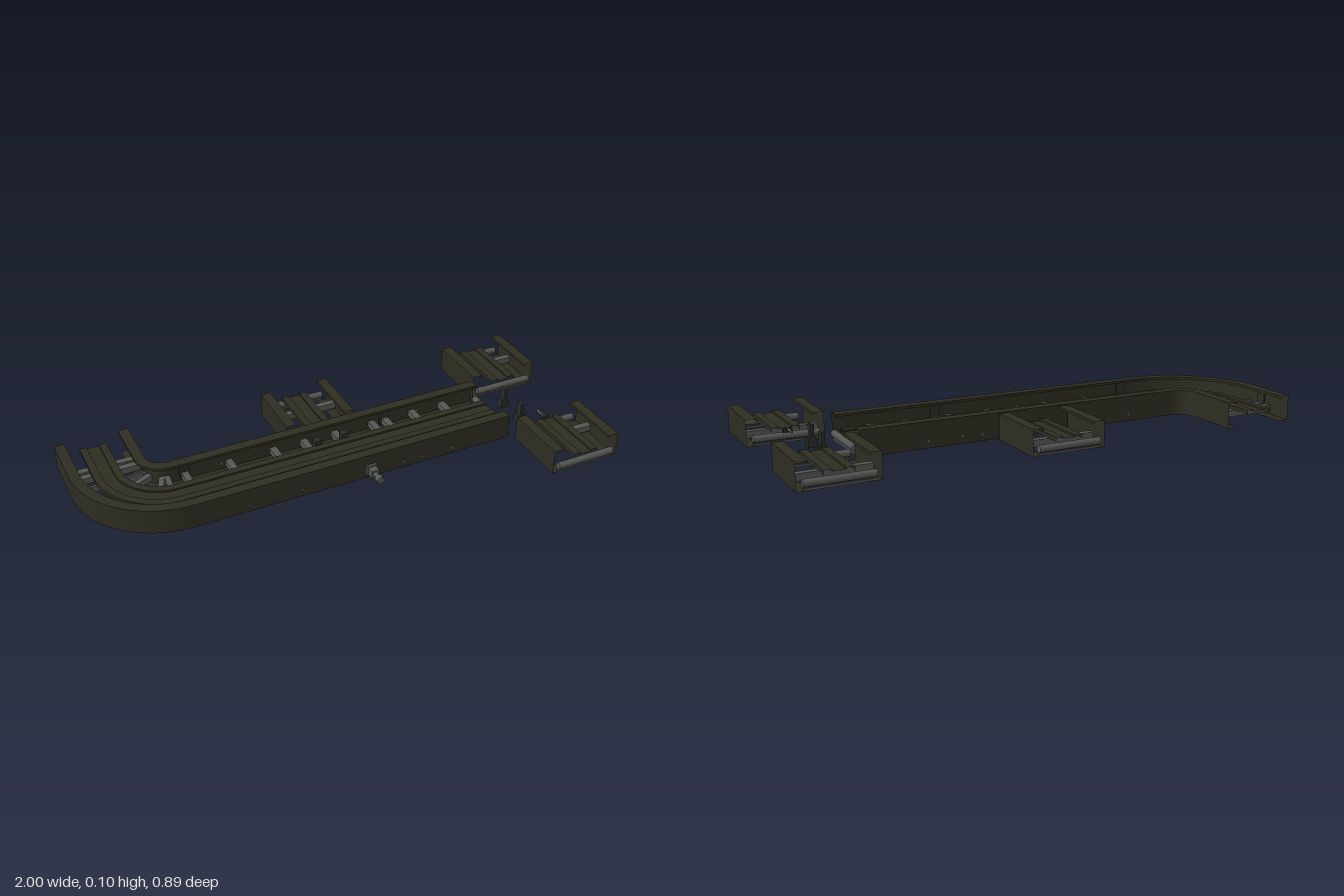
import * as THREE from 'three';

const olive = new THREE.MeshStandardMaterial({ color: 0x2d2d21, side: THREE.DoubleSide });
olive.name = 'olive sheet metal';
const steel = new THREE.MeshStandardMaterial({ color: 0x555753 });
steel.name = 'grey steel';
const dark = new THREE.MeshStandardMaterial({ color: 0x2a2a28 });
dark.name = 'dark bracket';

// Cross-sections as [sideways offset, height]
const outerRail = [[0.105, 0.09], [0.105, 0.1], [0.146, 0.1], [0.146, 0], [0.106, 0]];
const innerRail = outerRail.map(([s, y]) => [-s, y]);
const centreRail = [[-0.053, 0.045], [-0.053, 0.06], [-0.024, 0.06], [-0.024, 0.053],
  [0.024, 0.053], [0.024, 0.06], [0.053, 0.06], [0.053, 0.045]];

// Folded sheet: sweeps an open profile along a path of {x, z, nx, nz}
function sweep(name, path, profile) {
  const pos = [], idx = [];
  for (let k = 0; k < profile.length - 1; k++) {
    const base = pos.length / 3;
    path.forEach((p, i) => {
      for (const [s, y] of [profile[k], profile[k + 1]]) pos.push(p.x + p.nx * s, y, p.z + p.nz * s);
      if (i) {
        const a = base + 2 * (i - 1);
        idx.push(a, a + 1, a + 2, a + 1, a + 3, a + 2);
      }
    });
  }
  const g = new THREE.BufferGeometry();
  g.setAttribute('position', new THREE.Float32BufferAttribute(pos, 3));
  g.setIndex(idx);
  g.computeVertexNormals();
  const m = new THREE.Mesh(g, olive);
  m.name = name;
  return m;
}

function box(name, mat, w, h, d, x, y, z, ry = 0) {
  const m = new THREE.Mesh(new THREE.BoxGeometry(w, h, d), mat);
  m.name = name;
  m.position.set(x, y, z);
  m.rotation.y = ry;
  return m;
}

// Round bar along x, y or z
function rod(name, r, len, axis, x, y, z, sides = 8) {
  const g = new THREE.CylinderGeometry(r, r, len, sides);
  if (axis === 'x') g.rotateZ(Math.PI / 2);
  if (axis === 'z') g.rotateX(Math.PI / 2);
  const m = new THREE.Mesh(g, steel);
  m.name = name;
  m.position.set(x, y, z);
  return m;
}

function addRails(group, path) {
  group.add(sweep('outerSideRail', path, outerRail));
  group.add(sweep('innerSideRail', path, innerRail));
  group.add(sweep('centreRail', path, centreRail));
}

// Short conveyor section running along z
function createSection(name, x, z, bothEnds) {
  const g = new THREE.Group();
  g.name = name;
  addRails(g, [{ x: 0, z: -0.132, nx: 1, nz: 0 }, { x: 0, z: 0.132, nx: 1, nz: 0 }]);
  g.add(box('crossBar', steel, 0.288, 0.026, 0.027, 0, 0.026, -0.045));
  for (const end of bothEnds ? [-1, 1] : [-1]) {
    g.add(rod('endRoller', 0.014, 0.25, 'x', 0, 0.028, end * 0.132));
    g.add(box('endStrip', steel, 0.25, 0.008, 0.008, 0, 0.007, end * 0.132));
  }
  g.position.set(x, 0, z);
  return g;
}

export function createModel() {
  const model = new THREE.Group();

  // Long conveyor: straight run, quarter bend, short leg
  const main = new THREE.Group();
  main.name = 'mainConveyor';
  const cx = -0.64, cz = -0.218, r = 0.214, zc = cz + r;
  const path = [{ x: 0.685, z: zc, nx: 0, nz: 1 }];
  const steps = 20;
  for (let i = 0; i <= steps; i++) {
    const a = (i / steps) * Math.PI / 2;
    const nx = -Math.sin(a), nz = Math.cos(a);
    path.push({ x: cx + r * nx, z: cz + r * nz, nx, nz });
  }
  path.push({ x: cx - r, z: -0.43, nx: -1, nz: 0 });
  addRails(main, path);

  // Cross bars on the straight run
  for (const x of [-0.58, -0.4, -0.215, -0.085, 0.05, 0.215, 0.275, 0.4, 0.54]) {
    main.add(box('crossBar', steel, 0.027, 0.026, 0.286, x, 0.026, zc));
  }
  // Radial bars in the bend
  for (const a of [0.12, 0.38, 1.1]) {
    main.add(box('bendBar', steel, 0.022, 0.026, 0.286,
      cx - r * Math.sin(a), 0.026, cz + r * Math.cos(a), -a));
  }
  // Bars on the short leg
  for (const [z, w] of [[-0.315, 0.027], [-0.275, 0.027], [-0.205, 0.01]]) {
    main.add(box('legBar', steel, 0.286, 0.026, w, cx - r, 0.026, z));
  }
  // Roller at the open end
  main.add(rod('endRoller', 0.014, 0.23, 'z', 0.688, 0.028, zc));
  main.add(box('endStrip', steel, 0.008, 0.008, 0.23, 0.69, 0.007, zc));

  // Joint plates and bolts on the side rails
  for (const side of [-1, 1]) {
    for (const x of [-0.58, 0.27]) {
      main.add(box('jointPlate', dark, 0.04, 0.07, 0.006, x, 0.05, zc + side * 0.141));
    }
    for (const x of [-0.43, -0.215, 0.21, 0.29, 0.425]) {
      main.add(rod('bolt', 0.006, 0.006, 'z', x, 0.028, zc + side * 0.147));
    }
  }
  for (const s of [-1, 1]) {
    main.add(box('legJointPlate', dark, 0.006, 0.07, 0.04, cx - r + s * 0.141, 0.05, -0.275));
  }
  // Small stops beside the centre rail
  for (const x of [-0.06, 0.055]) {
    main.add(box('stop', dark, 0.028, 0.05, 0.028, x, 0.055, -0.067));
  }
  model.add(main);

  // Sensor on the front side
  const sensor = new THREE.Group();
  sensor.name = 'sideSensor';
  sensor.add(box('sensorPlate', steel, 0.045, 0.04, 0.01, 0.068, 0.038, 0.148));
  sensor.add(box('sensorBody', steel, 0.032, 0.032, 0.03, 0.068, 0.036, 0.166));
  sensor.add(rod('sensorBarrel', 0.011, 0.03, 'z', 0.068, 0.036, 0.19));
  sensor.add(rod('sensorHead', 0.015, 0.025, 'z', 0.068, 0.036, 0.215));
  model.add(sensor);

  // Separate short sections
  model.add(createSection('backSection', 0, -0.298, false));
  model.add(createSection('backEndSection', 0.853, -0.298, true));
  model.add(createSection('frontEndSection', 0.853, 0.296, true));

  // Loose posts past the open end
  for (const z of [-0.06, 0.064]) {
    const post = new THREE.Group();
    post.name = 'post';
    post.add(box('postFoot', dark, 0.034, 0.034, 0.03, 0.79, 0.017, z));
    post.add(box('postBlade', dark, 0.014, 0.053, 0.03, 0.79, 0.06, z));
    model.add(post);
  }

  // Pin in front of the front end section
  const pin = new THREE.Group();
  pin.name = 'pin';
  pin.add(rod('pinShaft', 0.005, 0.05, 'z', 0.85, 0.055, 0.125));
  pin.add(box('pinBlock', dark, 0.035, 0.015, 0.015, 0.852, 0.052, 0.148));
  model.add(pin);

  return model;
}
